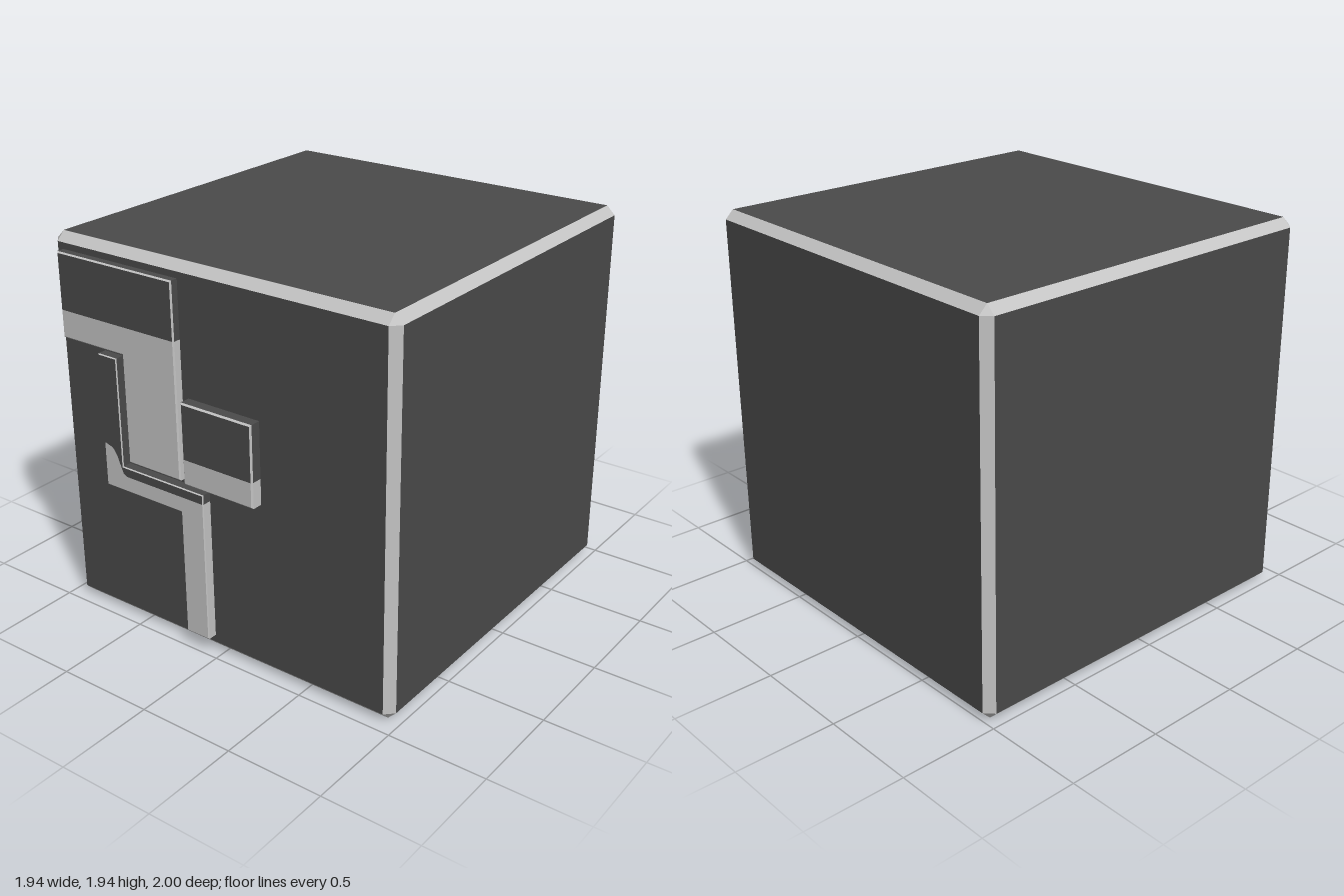
import * as THREE from 'three';
import { ConvexGeometry } from 'three/addons/geometries/ConvexGeometry.js';

const dark = new THREE.MeshStandardMaterial({ color: 0x4a4a4a });
dark.name = 'charcoal';
const light = new THREE.MeshStandardMaterial({ color: 0xc4c4c4 });
light.name = 'light grey';

// Cube with bevelled edges: flat faces charcoal, bevels and corners light grey
function chamferedCube(half, bevel) {
  const points = [];
  const inner = half - bevel;
  for (const sx of [-1, 1]) for (const sy of [-1, 1]) for (const sz of [-1, 1]) {
    points.push(
      new THREE.Vector3(sx * half, sy * inner, sz * inner),
      new THREE.Vector3(sx * inner, sy * half, sz * inner),
      new THREE.Vector3(sx * inner, sy * inner, sz * half));
  }
  const geometry = new ConvexGeometry(points);
  const normal = geometry.attributes.normal;
  for (let i = 0; i < normal.count; i += 3) {
    const largest = Math.max(Math.abs(normal.getX(i)), Math.abs(normal.getY(i)), Math.abs(normal.getZ(i)));
    geometry.addGroup(i, 3, largest > 0.99 ? 0 : 1);
  }
  return new THREE.Mesh(geometry, [dark, light]);
}

// Raised patch: `split` joins the neighbouring colour, `outline` gets a wall and a light bevel
function patch(name, split, outline, backZ, frontZ, bevel, material) {
  const pts = [...split, ...outline];
  const n = pts.length;
  const inward = pts.map((p, i) => {
    if (i < split.length - 1) return [0, 0];
    const q = pts[(i + 1) % n];
    const dx = q[0] - p[0], dy = q[1] - p[1], l = Math.hypot(dx, dy);
    return [-dy / l, dx / l];
  });
  const inset = pts.map((p, i) => {
    const a = inward[(i + n - 1) % n], b = inward[i];
    return [p[0] + (a[0] + b[0]) * bevel, p[1] + (a[1] + b[1]) * bevel];
  });
  const body = [], rim = [];
  const quad = (list, a, b, c, d) => list.push(...a, ...b, ...c, ...a, ...c, ...d);
  const shoulderZ = frontZ - bevel;
  for (let i = split.length - 1; i < n; i++) {
    const j = (i + 1) % n;
    const p = [...pts[i], shoulderZ], q = [...pts[j], shoulderZ];
    quad(body, [...pts[i], backZ], [...pts[j], backZ], q, p);
    quad(rim, p, q, [...inset[j], frontZ], [...inset[i], frontZ]);
  }
  const contour = inset.map(p => new THREE.Vector2(...p));
  for (const face of THREE.ShapeUtils.triangulateShape(contour, [])) {
    for (const k of face) body.push(...inset[k], frontZ);
  }
  const geometry = new THREE.BufferGeometry();
  geometry.setAttribute('position', new THREE.Float32BufferAttribute([...body, ...rim], 3));
  geometry.addGroup(0, body.length / 3, 0);
  geometry.addGroup(body.length / 3, rim.length / 3, 1);
  geometry.computeVertexNormals();
  const mesh = new THREE.Mesh(geometry, [material, light]);
  mesh.name = name;
  return mesh;
}

// Two-tone plate: dark above the split line, light below it
function plate(name, split, upper, lower, frontZ, bevel) {
  const group = new THREE.Group();
  group.name = name;
  group.add(
    patch(name + 'Upper', split, upper, 0.935, frontZ, bevel, dark),
    patch(name + 'Lower', [...split].reverse(), lower, 0.935, frontZ, bevel, light));
  return group;
}

export function createModel() {
  const model = new THREE.Group();
  model.name = 'cubeWithRaisedPlates';

  const cube = chamferedCube(0.97, 0.043);
  cube.name = 'cube';
  cube.position.set(0, 0.97, -0.03);
  model.add(cube);

  // Large hooked plate at the top left
  model.add(plate('hookedPlate',
    [[-0.895, 1.58], [-0.19, 1.58]],
    [[-0.19, 1.865], [-0.895, 1.865]],
    [[-0.895, 1.44], [-0.515, 1.44], [-0.515, 0.89], [-0.19, 0.89]],
    0.983, 0.007));

  // Narrow stepped plate with a curved colour break
  model.add(plate('steppedPlate',
    [[-0.665, 0.96], [-0.61, 0.945], [-0.585, 0.91], [-0.565, 0.86], [-0.55, 0.825], [-0.53, 0.812], [-0.05, 0.812]],
    [[-0.05, 0.86], [-0.55, 0.86], [-0.55, 1.415], [-0.665, 1.415]],
    [[-0.665, 0.732], [-0.188, 0.732], [-0.188, 0.082], [-0.05, 0.082]],
    0.99, 0.005));

  // Small square plate
  model.add(plate('squarePlate',
    [[-0.155, 1.02], [0.255, 1.02]],
    [[0.255, 1.302], [-0.155, 1.302]],
    [[-0.155, 0.89], [0.255, 0.89]],
    1.0, 0.008));

  return model;
}
